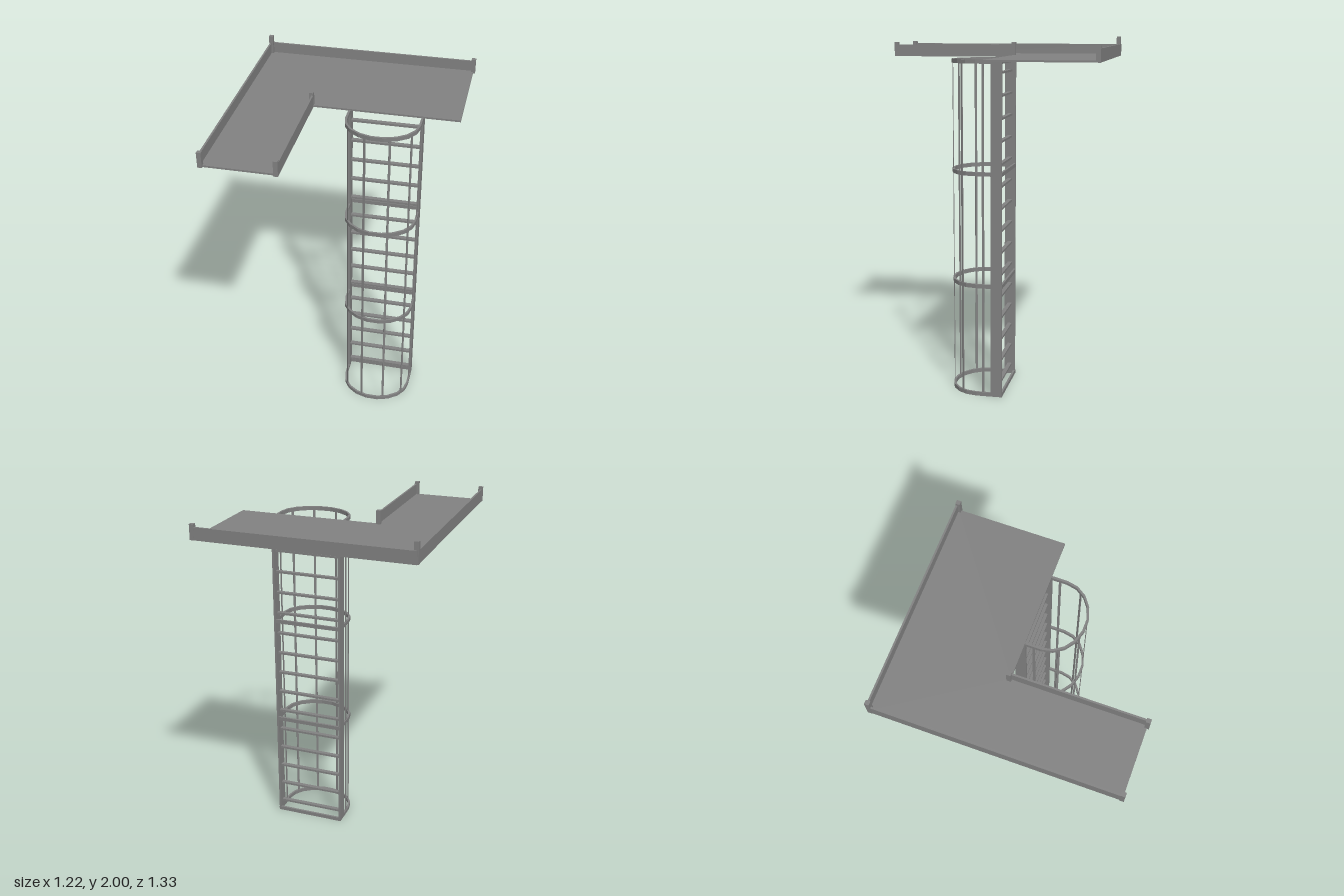
import * as THREE from 'three';

export function createModel() {
  const model = new THREE.Group();
  const steel = new THREE.MeshStandardMaterial({ color: 0x808080 });
  steel.name = 'grey steel';

  const add = (name, geometry, parent) => {
    const mesh = new THREE.Mesh(geometry, steel);
    mesh.name = name;
    parent.add(mesh);
    return mesh;
  };
  // Box given by its minimum and maximum corners
  const box = (name, [x0, y0, z0], [x1, y1, z1], parent) => {
    const mesh = add(name, new THREE.BoxGeometry(x1 - x0, y1 - y0, z1 - z0), parent);
    mesh.position.set((x0 + x1) / 2, (y0 + y1) / 2, (z0 + z1) / 2);
    return mesh;
  };
  // Plan outline of [x, z] points, raised into a slab from y = 0
  const slab = (outline, height) => {
    const shape = new THREE.Shape(outline.map(([x, z]) => new THREE.Vector2(x, -z)));
    return new THREE.ExtrudeGeometry(shape, { depth: height, bevelEnabled: false }).rotateX(-Math.PI / 2);
  };

  // L-shaped platform with toe boards on three edges
  const platform = new THREE.Group();
  platform.name = 'platform';
  model.add(platform);
  const base = 1.885;
  const deck = [[-0.605, -0.66], [0.6, -0.66], [0.6, -0.06], [-0.207, -0.06], [-0.207, 0.655], [-0.605, 0.655]];
  add('deck', slab(deck, 0.01), platform).position.y = base;
  box('backToeBoard', [-0.605, base, -0.665], [0.6, 1.955, -0.655], platform);
  box('outerToeBoard', [-0.61, base, -0.66], [-0.6, 1.955, 0.655], platform);
  box('innerToeBoard', [-0.212, base, -0.06], [-0.202, 1.955, 0.655], platform);

  // Short corner posts: x, z, top
  const posts = [
    [-0.6, -0.649, 2], [0.598, -0.654, 1.97], [-0.601, 0.653, 1.97],
    [-0.213, -0.066, 1.97], [-0.213, 0.653, 1.97],
  ];
  for (const [x, z, top] of posts) {
    box('cornerPost', [x - 0.012, base, z - 0.012], [x + 0.012, top, z + 0.012], platform);
  }

  // Ladder: side rails and rungs
  const ladder = new THREE.Group();
  ladder.name = 'ladder';
  model.add(ladder);
  const centreX = 0.197;
  for (const side of [-1, 1]) {
    const x = centreX + side * 0.199;
    box('sideRail', [x - 0.006, 0, -0.12], [x + 0.006, base, -0.057], ladder);
  }
  for (let i = 0; i < 15; i++) {
    const y = 0.06 + i * 0.1254;
    box('rung', [0, y - 0.006, -0.1], [0.394, y + 0.006, -0.076], ladder);
  }

  // Safety cage: hoops with nine facets, each with a crossbar behind
  const cage = new THREE.Group();
  cage.name = 'safetyCage';
  model.add(cage);
  const centreZ = 0.025;
  const arc = (rx, rz) => {
    const points = [[centreX + rx, -0.06]];
    for (let i = 0; i <= 9; i++) {
      const a = i * Math.PI / 9;
      points.push([centreX + rx * Math.cos(a), centreZ + rz * Math.sin(a)]);
    }
    points.push([centreX - rx, -0.06]);
    return points;
  };
  const hoop = slab([...arc(0.205, 0.176), ...arc(0.193, 0.164).reverse()], 0.022);
  for (const y of [0, 0.63, 1.26, 1.867]) {
    add('hoop', hoop, cage).position.y = y;
    box('crossbar', [-0.008, y, -0.121], [0.402, y + 0.022, -0.109], cage);
  }

  // Flat upright strips around the cage
  const strip = (x, z, turn) => {
    const mesh = add('cageStrip', new THREE.BoxGeometry(0.013, base - 0.005, 0.004), cage);
    mesh.position.set(x, base / 2, z);
    mesh.rotation.y = turn;
  };
  for (const side of [-1, 1]) {
    strip(centreX + side * 0.199, -0.014, Math.PI / 2);
    for (const degrees of [30, 70]) {
      const a = THREE.MathUtils.degToRad(degrees);
      const x = side * 0.197 * Math.cos(a);
      const z = 0.169 * Math.sin(a);
      strip(centreX + x, centreZ + z, Math.atan2(side * Math.cos(a) / 0.199, Math.sin(a) / 0.17));
    }
  }
  return model;
}
